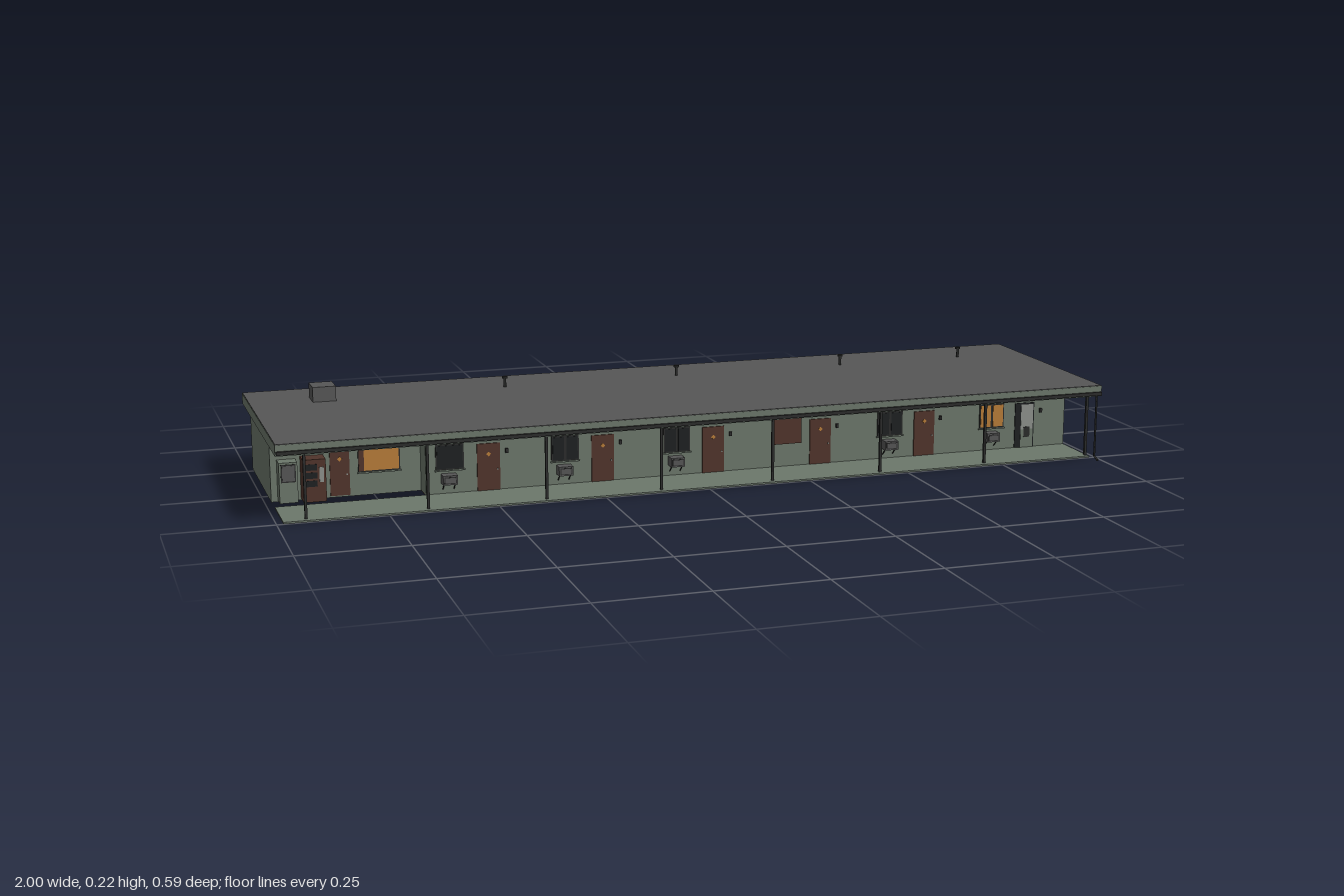
import * as THREE from 'three';

export function createModel() {
  const model = new THREE.Group();
  model.name = 'motelBlock';
  const mat = (name, color) => {
    const m = new THREE.MeshStandardMaterial({ color });
    m.name = name;
    return m;
  };
  const green = mat('wallGreen', 0x6c776b);
  const grey = mat('roofGrey', 0x565656);
  const brown = mat('woodBrown', 0x50342b);
  const dark = mat('darkMetal', 0x2a2b2a);
  const glass = mat('darkGlass', 0x1c1f20);
  const amber = mat('litWindow', 0xb87c38);
  const pale = mat('paleGrey', 0x8d918c);

  // Box given by its low and high corner
  function box(name, material, x0, x1, y0, y1, z0, z1, parent = model) {
    const mesh = new THREE.Mesh(new THREE.BoxGeometry(x1 - x0, y1 - y0, z1 - z0), material);
    mesh.position.set((x0 + x1) / 2, (y0 + y1) / 2, (z0 + z1) / 2);
    mesh.name = name;
    parent.add(mesh);
    return mesh;
  }
  // Round bar between two points
  function rod(name, material, a, b, r, sides = 8, parent = model) {
    const p = new THREE.Vector3(...a), q = new THREE.Vector3(...b);
    const mesh = new THREE.Mesh(new THREE.CylinderGeometry(r, r, p.distanceTo(q), sides), material);
    mesh.position.copy(p).add(q).multiplyScalar(0.5);
    mesh.quaternion.setFromUnitVectors(new THREE.Vector3(0, 1, 0), q.sub(p).normalize());
    mesh.name = name;
    parent.add(mesh);
    return mesh;
  }
  function group(name) {
    const g = new THREE.Group();
    g.name = name;
    model.add(g);
    return g;
  }

  const WALL = 0.113, OFFICE = 0.055, BACK = -0.27;

  // Guest room wing, recessed office, and the floors seen from below
  box('roomWing', green, -0.64, 0.985, 0.002, 0.158, BACK, WALL);
  box('office', green, -0.985, -0.64, 0, 0.158, BACK, OFFICE);
  box('roomFloorA', brown, -0.64, 0.712, 0, 0.002, BACK + 0.003, WALL);
  box('roomFloorB', brown, 0.717, 0.982, 0, 0.002, BACK + 0.003, WALL);
  box('walkway', green, -0.985, 0.985, 0, 0.004, WALL, 0.248);

  // Flat roof with fascia, gutter and downspout
  box('roofFascia', green, -1, 1, 0.158, 0.183, -0.293, 0.27);
  box('roofTop', grey, -0.999, 0.999, 0.183, 0.1845, -0.292, 0.269);
  box('gutter', dark, -0.998, 0.998, 0.161, 0.169, 0.27, 0.276);
  rod('downspout', dark, [0.985, 0.165, 0.274], [0.985, 0.01, 0.274], 0.0025);
  rod('downspoutFoot', dark, [0.985, 0.01, 0.274], [0.985, 0.003, 0.292], 0.0025);

  // Roof box and vent pipes
  box('roofUnit', grey, -0.855, -0.8, 0.184, 0.22, -0.19, -0.131);
  for (const x of [-0.385, 0.052, 0.49, 0.818]) {
    rod('ventPipe', dark, [x, 0.184, -0.163], [x, 0.207, -0.163], 0.0035);
    rod('ventCap', dark, [x, 0.206, -0.163], [x, 0.21, -0.163], 0.007);
  }

  // Walkway posts, one at each bay line
  for (let i = 0; i < 8; i++) {
    const x = -0.933 + i * 0.2735;
    box('post', dark, x - 0.003, x + 0.003, 0.004, 0.158, 0.23, 0.236);
  }

  // Framed window with optional centre bar and sill
  function windowAt(x0, x1, y0, y1, z, pane, split = true) {
    const g = group('window');
    box('windowFrame', dark, x0, x1, y0, y1, z, z + 0.003, g);
    const mid = (x0 + x1) / 2, t = 0.003;
    const panes = split ? [[x0 + t, mid - t], [mid + t, x1 - t]] : [[x0 + t, x1 - t]];
    for (const [a, b] of panes) box('windowPane', pane, a, b, y0 + t, y1 - t, z + 0.003, z + 0.004, g);
    box('windowSill', green, x0 - 0.002, x1 + 0.002, y0 - 0.003, y0, z, z + 0.006, g);
  }
  function doorAt(x0, x1, z, leaf = brown) {
    const g = group('door');
    box('doorLeaf', leaf, x0, x1, 0.004, 0.115, z, z + 0.003, g);
    const mid = (x0 + x1) / 2;
    const light = box('doorLight', amber, mid - 0.004, mid + 0.004, 0.086, 0.094, z + 0.003, z + 0.004, g);
    light.rotation.z = Math.PI / 4;
    box('doorKnob', pale, x1 - 0.008, x1 - 0.005, 0.052, 0.055, z + 0.003, z + 0.006, g);
  }
  // Cooling box on two diagonal brackets
  function coolerAt(x) {
    const g = group('windowCooler');
    box('coolerBody', grey, x - 0.017, x + 0.017, 0.029, 0.051, WALL, 0.139, g);
    box('coolerGrille', dark, x - 0.014, x + 0.014, 0.032, 0.048, 0.139, 0.14, g);
    box('coolerGrilleFace', grey, x - 0.012, x + 0.012, 0.034, 0.046, 0.14, 0.1405, g);
    for (const s of [-1, 1]) rod('coolerBracket', dark, [x + s * 0.013, 0.014, WALL], [x + s * 0.013, 0.03, 0.13], 0.0012, 6, g);
  }

  // Six rooms: window, cooler, door, lamp and rear vent window
  for (let i = 0; i < 6; i++) {
    const o = i * 0.2735;
    const x0 = -0.617 + o, x1 = x0 + 0.066;
    if (i === 3) {
      box('boardedWindow', brown, x0, x1 + 0.008, 0.06, 0.122, WALL, WALL + 0.006);
    } else {
      windowAt(x0, x1, 0.06, 0.12, WALL, i === 5 ? amber : glass, i !== 0);
      coolerAt(-0.588 + o);
    }
    if (i < 5) doorAt(-0.52 + o, -0.466 + o, WALL);
    box('wallLamp', dark, -0.453 + o, -0.447 + o, 0.09, 0.1, WALL, WALL + 0.006);

    const bx = -0.522 + o, g = group('rearWindow');
    box('rearFrame', dark, bx - 0.029, bx + 0.029, 0.1, 0.14, BACK - 0.005, BACK, g);
    box('rearSurround', green, bx - 0.025, bx + 0.025, 0.104, 0.136, BACK - 0.006, BACK - 0.005, g);
    box('rearPane', glass, bx - 0.018, bx + 0.018, 0.113, 0.13, BACK - 0.007, BACK - 0.006, g);
    box('rearSill', dark, bx - 0.025, bx + 0.025, 0.107, 0.111, BACK - 0.011, BACK, g);
  }

  // Last room: doorway standing ajar
  box('doorwayOpening', glass, 0.848, 0.9, 0.004, 0.117, WALL, WALL + 0.002);
  box('doorwayInterior', pale, 0.864, 0.897, 0.05, 0.113, WALL + 0.002, WALL + 0.003);
  box('doorwayLower', green, 0.864, 0.897, 0.004, 0.05, WALL + 0.002, WALL + 0.003);
  box('doorwayShelf', dark, 0.872, 0.888, 0.03, 0.056, WALL + 0.003, WALL + 0.004);

  // Office front: lit window, door and machines in the recess
  windowAt(-0.785, -0.688, 0.055, 0.12, OFFICE, amber, false);
  box('officeBlind', brown, -0.784, -0.772, 0.058, 0.118, OFFICE + 0.004, OFFICE + 0.005);
  doorAt(-0.85, -0.805, OFFICE);
  box('vendingMachine', brown, -0.917, -0.865, 0.004, 0.103, OFFICE, 0.098);
  for (let r = 0; r < 3; r++) {
    box('vendingShelf', glass, -0.911, -0.885, 0.04 + r * 0.019, 0.054 + r * 0.019, 0.098, 0.099);
  }
  box('vendingSlot', pale, -0.88, -0.87, 0.05, 0.085, 0.098, 0.099);
  box('iceMachine', green, -0.97, -0.928, 0.004, 0.098, OFFICE, 0.09);
  box('iceMachineRim', dark, -0.966, -0.932, 0.052, 0.094, 0.09, 0.091);
  box('iceMachineDoor', grey, -0.963, -0.935, 0.055, 0.091, 0.091, 0.092);
  box('officeSign', grey, -0.86, -0.795, 0.13, 0.152, OFFICE, OFFICE + 0.006);

  return model;
}
